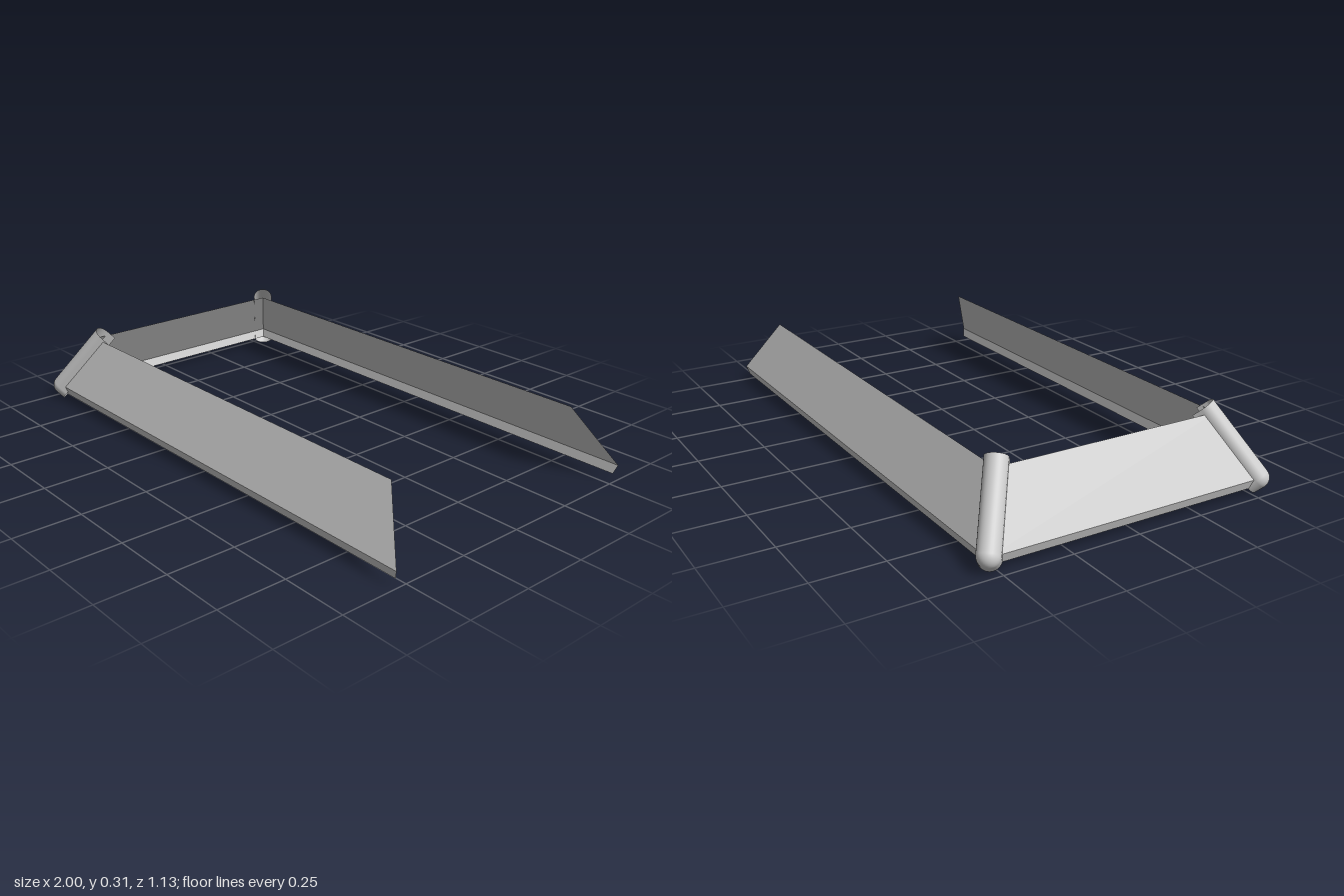
import * as THREE from 'three';

const V = (x, y, z) => new THREE.Vector3(x, y, z);

// Loft a sheet through rows of points that all have the same length.
function sheet(rows, flat) {
  const n = rows[0].length;
  const index = [];
  for (let i = 0; i < rows.length - 1; i++) {
    for (let j = 0; j < n - 1; j++) {
      const a = i * n + j, b = a + 1, c = a + n, d = c + 1;
      index.push(a, b, d, a, d, c);
    }
  }
  let g = new THREE.BufferGeometry().setFromPoints(rows.flat());
  g.setIndex(index);
  if (flat) g = g.toNonIndexed();
  g.computeVertexNormals();
  return g;
}

// Key heights and plan positions of the sloping skirt
const TOP = 0.265, EAVE = 0.058, LIP = 0.025;
const X_OUT = -0.98, X_IN = -0.84, Z_OUT = 0.542, Z_IN = 0.432;
const LIP_X = 0.012, LIP_Z = 0.01;

// Sloping panel on the front (side = 1) or back (side = -1), with its turned-in lip
function sidePanel(side) {
  const row = (x0, x1, y, z) => side > 0
    ? [V(x0, y, z), V(x1, y, z)]
    : [V(x1, y, -z), V(x0, y, -z)];
  return sheet([
    row(X_OUT + LIP_X, 1 - LIP_X, LIP, Z_OUT - LIP_Z),
    row(X_OUT, 1, EAVE, Z_OUT),
    row(X_IN, 0.86, TOP, Z_IN),
  ], true);
}

// Sloping panel joining the two sides
function endPanel() {
  const row = (x, y, z) => [V(x, y, -z), V(x, y, z)];
  return sheet([
    row(X_OUT + LIP_X, LIP, Z_OUT - LIP_Z),
    row(X_OUT, EAVE, Z_OUT),
    row(X_IN, TOP, Z_IN),
  ], true);
}

// Arched cap over a corner: half-round crown, straight legs, rounded lower end
function cornerCap(side) {
  const R = 0.0385, LEG = 0.038, DROP = 0.02;
  const low = V(X_OUT, EAVE, side * Z_OUT);
  const high = V(X_IN, TOP, side * Z_IN);
  const d = high.clone().sub(low).normalize();
  const s = V(d.z, 0, -d.x).normalize();
  const n = d.clone().cross(s).normalize();
  if (n.y < 0) { n.negate(); s.negate(); }

  const section = (centre, r) => {
    const at = (u, v) => centre.clone().addScaledVector(s, u).addScaledVector(n, v);
    const pts = [at(r, -LEG)];
    for (let k = 0; k <= 16; k++) {
      const a = Math.PI * k / 16;
      pts.push(at(r * Math.cos(a), r * Math.sin(a)));
    }
    pts.push(at(-r, -LEG));
    return pts;
  };

  const start = low.clone().addScaledVector(n, -DROP).addScaledVector(d, 0.012);
  const end = high.clone().addScaledVector(n, -DROP).addScaledVector(d, 0.04);
  const rows = [section(end, R)];
  for (let k = 0; k <= 8; k++) {
    const t = Math.PI / 2 * k / 8;
    rows.push(section(start.clone().addScaledVector(d, -R * Math.sin(t)), R * Math.cos(t)));
  }
  // Keep the outside of the arch as the front of the sheet
  const rise = rows[1][8].clone().sub(rows[0][8]);
  const across = rows[0][9].clone().sub(rows[0][8]);
  if (across.cross(rise).dot(n) < 0) rows.forEach((r) => r.reverse());
  return sheet(rows, false);
}

export function createModel() {
  const group = new THREE.Group();
  const grey = new THREE.MeshStandardMaterial({ color: 0xcccccc, side: THREE.DoubleSide });
  grey.name = 'light grey';

  const add = (name, geometry) => {
    const mesh = new THREE.Mesh(geometry, grey);
    mesh.name = name;
    group.add(mesh);
  };

  add('endPanel', endPanel());
  for (const [side, label] of [[1, 'front'], [-1, 'back']]) {
    add(label + 'Panel', sidePanel(side));
    add(label + 'CornerCap', cornerCap(side));
  }
  return group;
}
